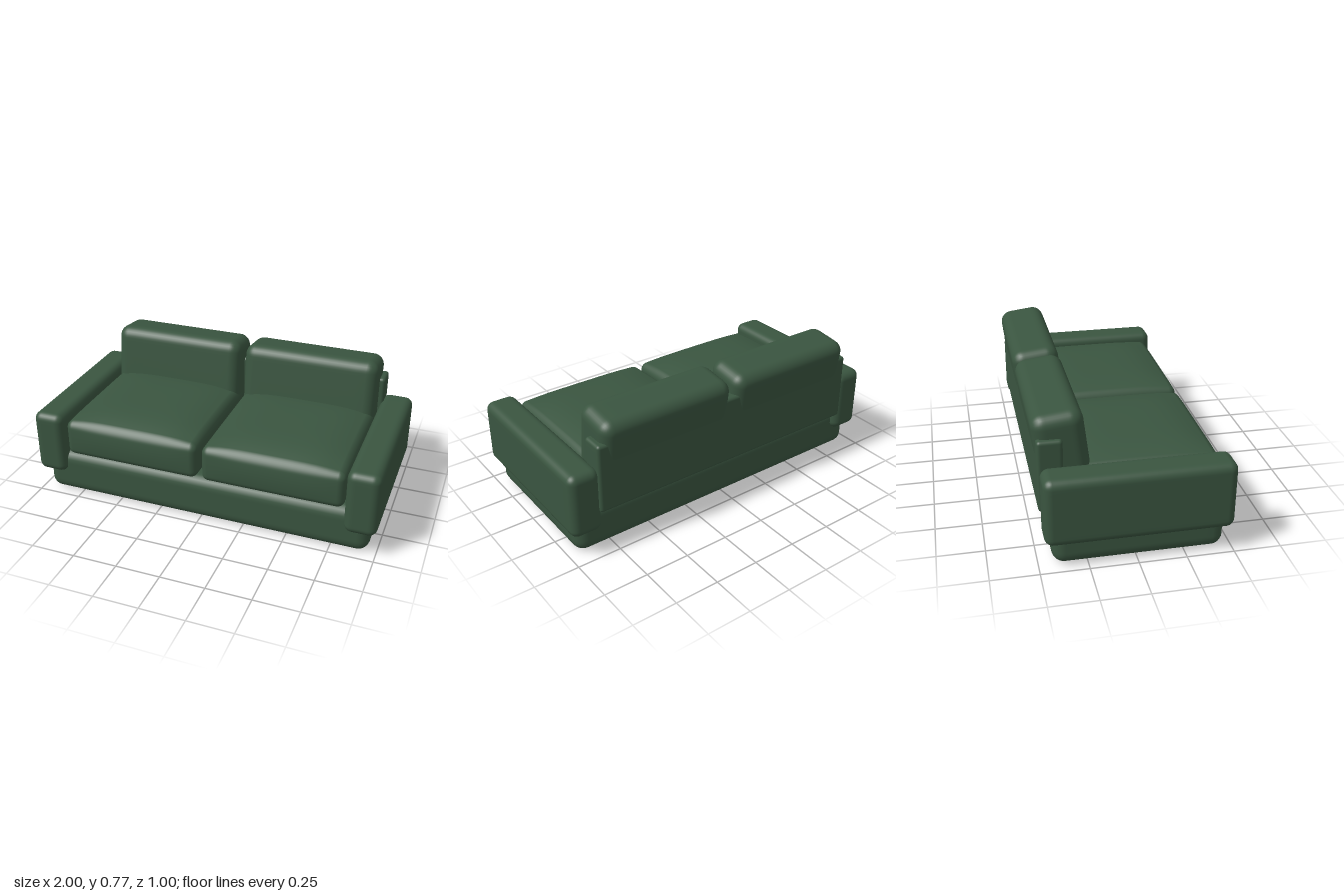
import * as THREE from 'three';
import { mergeVertices } from 'three/addons/utils/BufferGeometryUtils.js';

// Rounded box with evenly divided faces, so that cushions can be puffed.
function softBox(w, h, d, r, steps = 4, puff = null) {
  const inner = 12, n = inner + 2 * steps;
  const geo = new THREE.BoxGeometry(2, 2, 2, n, n, n);
  geo.deleteAttribute('uv');
  geo.deleteAttribute('normal');
  const pos = geo.attributes.position;
  const half = [w / 2, h / 2, d / 2];
  const p = new THREE.Vector3(), c = new THREE.Vector3();
  // Put the outer grid lines in the rounded rim, the others on the flat part
  const place = (t, size) => {
    const i = Math.round(Math.abs(t) * n / 2), flat = size - r;
    return Math.sign(t) * (i <= inner / 2
      ? flat * i / (inner / 2)
      : flat + r * Math.tan((i - inner / 2) / steps * Math.PI / 4));
  };
  for (let i = 0; i < pos.count; i++) {
    p.fromBufferAttribute(pos, i);
    p.set(place(p.x, half[0]), place(p.y, half[1]), place(p.z, half[2]));
    c.set(...['x', 'y', 'z'].map((a, k) => THREE.MathUtils.clamp(p[a], r - half[k], half[k] - r)));
    p.sub(c).normalize().multiplyScalar(r).add(c);
    if (puff) puff(p, p.x / half[0], p.y / half[1], p.z / half[2]);
    pos.setXYZ(i, p.x, p.y, p.z);
  }
  const merged = mergeVertices(geo, 1e-5);
  merged.computeVertexNormals();
  return merged;
}

export function createModel() {
  const sofa = new THREE.Group();
  sofa.name = 'sofa';
  const fabric = new THREE.MeshStandardMaterial({ color: 0x3a5540 });
  fabric.name = 'green fabric';

  const add = (name, geo, x, y, z, tilt = 0) => {
    const mesh = new THREE.Mesh(geo, fabric);
    mesh.name = name;
    mesh.position.set(x, y, z);
    mesh.rotation.x = tilt;
    sofa.add(mesh);
  };

  // Plinth and back panel
  add('base', softBox(1.915, 0.265, 0.89, 0.065, 3), 0, 0.1325, 0.015);
  add('backPanel', softBox(1.68, 0.395, 0.13, 0.018, 3), 0, 0.4475, -0.414);

  // Domed top and slightly swollen front for the seats
  const seat = softBox(0.8, 0.21, 0.8, 0.04, 4, (p, u, v, w) => {
    const across = 1 - u ** 4;
    if (v > 0) p.y += 0.048 * v * across * (1 - w ** 4);
    if (w > 0) p.z += 0.012 * w ** 3 * across * (1 - v * v);
  });
  const backCushion = softBox(0.797, 0.42, 0.264, 0.065);
  const arm = softBox(0.178, 0.37, 0.97, 0.045);

  for (const [side, s] of [['left', 1], ['right', -1]]) {
    add(side + 'Arm', arm, s * 0.911, 0.325, 0.014);
    add(side + 'SeatCushion', seat, s * 0.414 - 0.003, 0.36, 0.06);
    add(side + 'BackCushion', backCushion, s * 0.414 - 0.003, 0.556, -0.348, -0.125);
  }
  return sofa;
}
